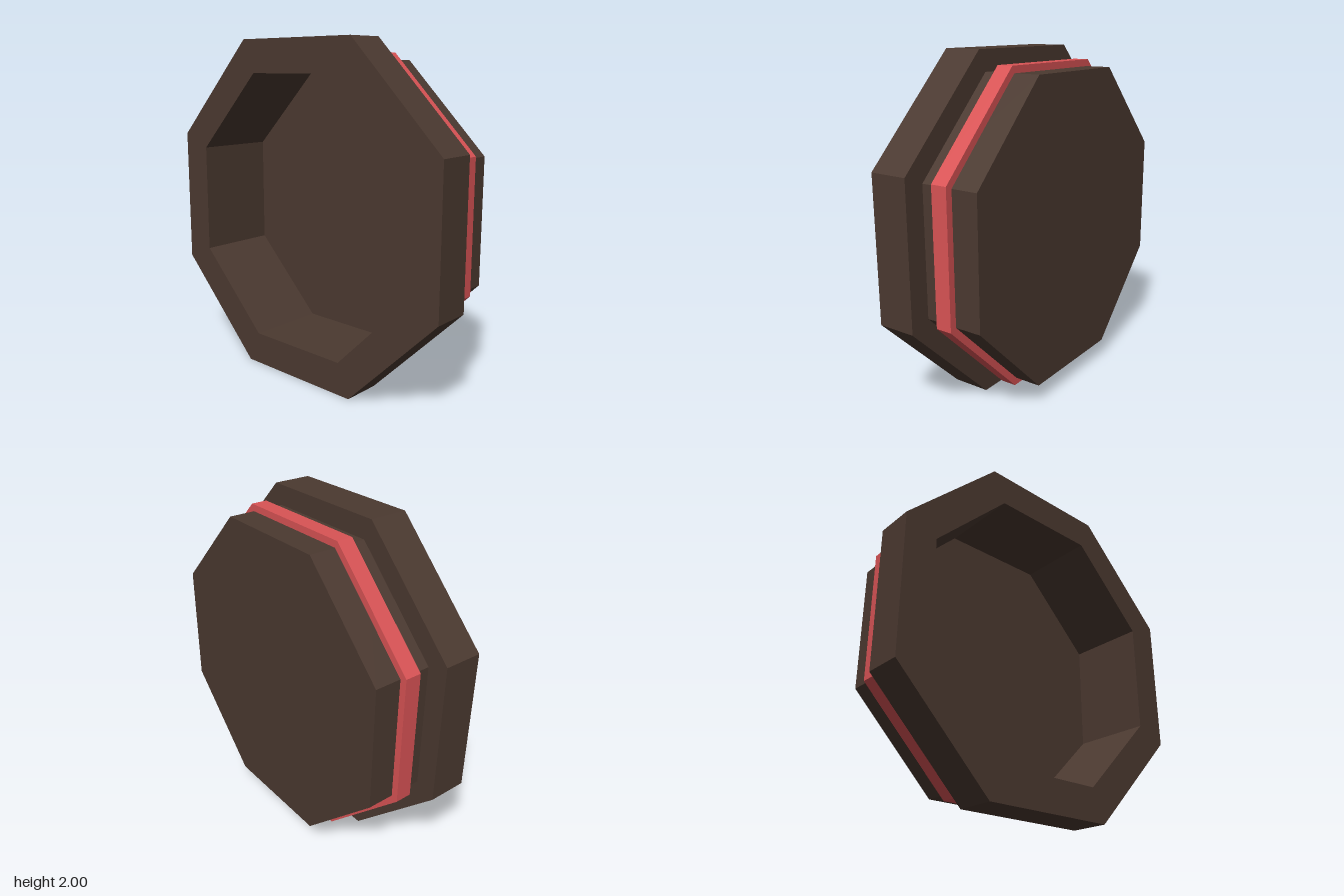
import * as THREE from 'three';

const SIDES = 8;
const TO_CORNER = 1 / Math.cos(Math.PI / SIDES);

// Octagonal ring turned from a profile of [apothem, z] pairs, flat side up
function octagon(name, profile, material) {
  const points = profile.map(([r, z]) => new THREE.Vector2(r * TO_CORNER, z));
  let geometry = new THREE.LatheGeometry(points, SIDES);
  geometry.rotateY(Math.PI / SIDES);
  geometry.rotateX(Math.PI / 2);
  geometry = geometry.toNonIndexed();
  geometry.computeVertexNormals();
  const mesh = new THREE.Mesh(geometry, material);
  mesh.name = name;
  mesh.position.y = 1;
  return mesh;
}

export function createModel() {
  const brown = new THREE.MeshStandardMaterial({ color: 0x4b3930, flatShading: true });
  brown.name = 'darkBrown';
  const red = new THREE.MeshStandardMaterial({ color: 0xd95355, flatShading: true });
  red.name = 'red';

  const model = new THREE.Group();
  model.name = 'octagonalDish';

  // Hollow dish: back, outer wall, wide front rim, recess and its floor
  model.add(octagon('dish', [
    [0, -0.29], [0.88, -0.29], [0.88, 0.06], [1, 0.06], [1, 0.29],
    [0.805, 0.29], [0.805, -0.2], [0, -0.2],
  ], brown));

  // Raised band around the outer wall
  model.add(octagon('band', [
    [0.87, -0.132], [0.92, -0.132], [0.92, -0.036], [0.87, -0.036],
  ], red));

  return model;
}
